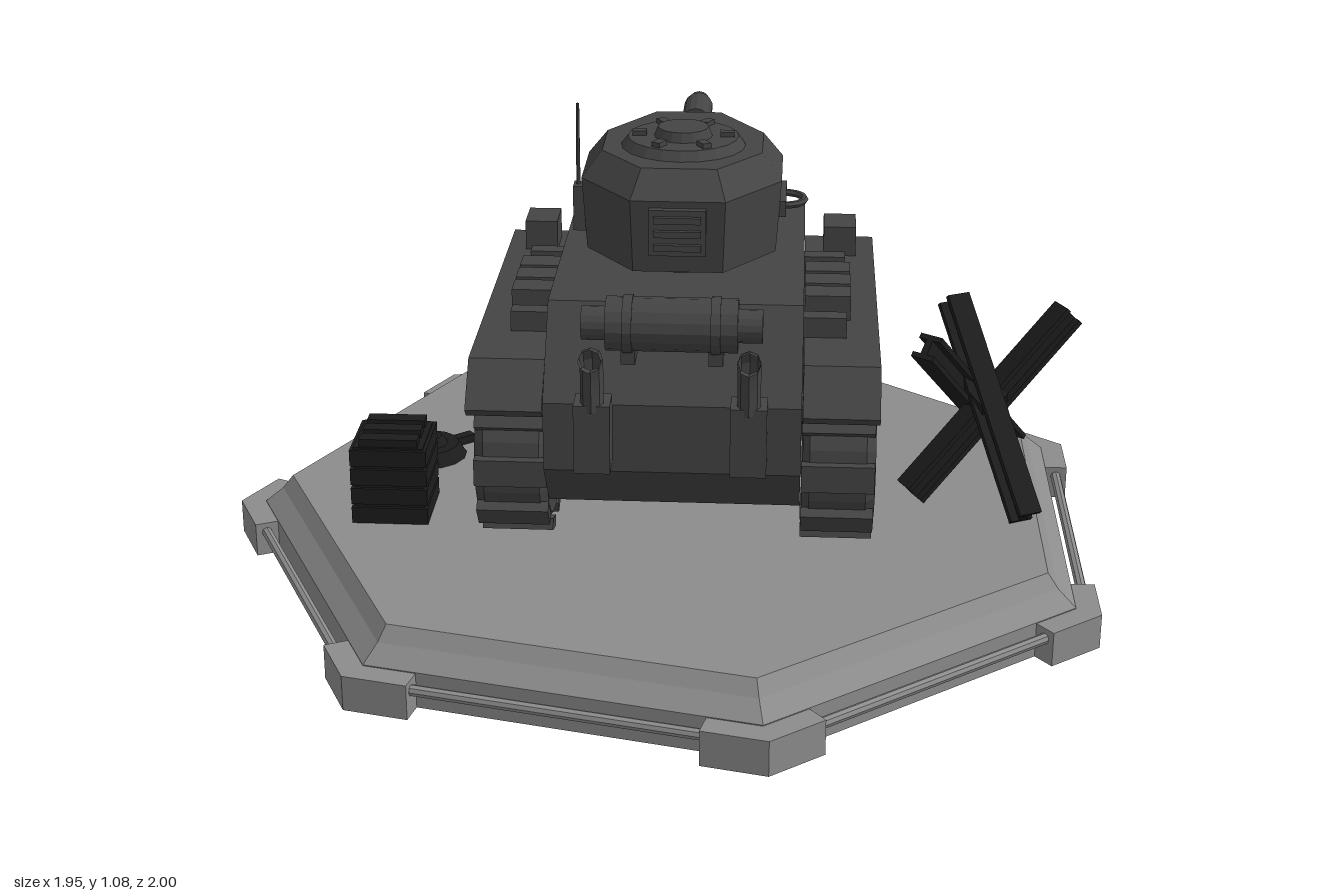
import * as THREE from 'three';

const mat = (color) => new THREE.MeshStandardMaterial({ color, flatShading: true, side: THREE.DoubleSide });
const STONE = mat(0x8c8c8c), STEEL = mat(0x444444), DARK = mat(0x1c1c1c);

function add(parent, name, geo, m, pos = [0, 0, 0], rot = [0, 0, 0]) {
  const mesh = new THREE.Mesh(geo, m);
  mesh.name = name;
  mesh.position.set(...pos);
  mesh.rotation.set(...rot);
  parent.add(mesh);
  return mesh;
}
const box = (x, y, z) => new THREE.BoxGeometry(x, y, z);
const cyl = (r0, r1, h, n = 16) => new THREE.CylinderGeometry(r0, r1, h, n);

// Side profile given as [z, y] points, extruded across x
function sideExtrude(points, width) {
  const shape = new THREE.Shape(points.map((p) => new THREE.Vector2(...p)));
  const g = new THREE.ExtrudeGeometry(shape, { depth: width, bevelEnabled: false });
  return g.translate(0, 0, -width / 2).rotateY(-Math.PI / 2);
}

// Stacked rings of [x, z] points at given heights, capped at both ends
function loft(rings, heights) {
  const pos = [], n = rings[0].length;
  const put = (k, i) => pos.push(rings[k][i % n][0], heights[k], rings[k][i % n][1]);
  const last = rings.length - 1;
  for (let i = 0; i < n; i++) {
    for (let k = 0; k < last; k++) {
      put(k, i); put(k + 1, i); put(k, i + 1);
      put(k, i + 1); put(k + 1, i); put(k + 1, i + 1);
    }
    if (i > 0 && i < n - 1) {
      put(last, 0); put(last, i + 1); put(last, i);
      put(0, 0); put(0, i); put(0, i + 1);
    }
  }
  const g = new THREE.BufferGeometry();
  g.setAttribute('position', new THREE.Float32BufferAttribute(pos, 3));
  g.computeVertexNormals();
  return g;
}

// Seven-sided plinth with corner blocks and rails
function makeBase() {
  const g = new THREE.Group();
  g.name = 'base';
  g.position.x = 0.05;
  const step = (Math.PI * 2) / 7, h = step / 2;
  const ring = (r) => Array.from({ length: 7 }, (_, i) => {
    const a = Math.PI + i * step;
    return [r * Math.cos(a), r * Math.sin(a)];
  });
  add(g, 'plinth', loft([ring(0.967), ring(0.967), ring(0.925), ring(0.9)], [0, 0.08, 0.115, 0.147]), STONE);
  const R = 1.025, len = 0.14, deep = 0.09;
  const along = [R - Math.sin(h) * len, Math.cos(h) * len];
  const inner = [along[0] - Math.cos(h) * deep, along[1] - Math.sin(h) * deep];
  const outline = [[R, 0], along, inner, [0.9, 0], [inner[0], -inner[1]], [along[0], -along[1]]];
  const block = loft([outline, outline], [0, 0.078]);
  for (let i = 0; i < 7; i++) {
    const a = Math.PI + i * step, b = a + h, d = 0.898;
    add(g, 'cornerBlock', block, STONE, [0, 0, 0], [0, -a, 0]);
    add(g, 'rail', cyl(0.012, 0.012, 0.64, 8).rotateX(Math.PI / 2), STONE,
      [d * Math.cos(b), 0.055, d * Math.sin(b)], [0, -b, 0]);
  }
  return g;
}

// Wheel with axle on x, dished face towards +x
function makeWheel() {
  const g = new THREE.Group();
  g.name = 'wheel';
  const profile = [[0.03, -0.075], [0.17, -0.075], [0.19, -0.06], [0.19, 0.06], [0.175, 0.08],
    [0.135, 0.08], [0.125, 0.04], [0.03, 0.04]].map((p) => new THREE.Vector2(...p));
  add(g, 'tyre', new THREE.LatheGeometry(profile, 20).rotateZ(-Math.PI / 2), STEEL);
  for (let i = 0; i < 10; i++) {
    const a = (i * Math.PI) / 5 + 0.3;
    add(g, 'tread', box(0.155, 0.025, 0.06), STEEL, [0, 0.194 * Math.cos(a), 0.194 * Math.sin(a)], [a, 0, 0]);
  }
  add(g, 'hub', cyl(0.055, 0.065, 0.05, 8).rotateZ(-Math.PI / 2), STEEL, [0.05, 0, 0]);
  for (let i = 0; i < 5; i++) {
    const a = (i * Math.PI * 2) / 5;
    add(g, 'spoke', box(0.02, 0.08, 0.025), STEEL, [0.045, 0.085 * Math.cos(a), 0.085 * Math.sin(a)], [a, 0, 0]);
  }
  add(g, 'hubPlate', box(0.03, 0.06, 0.09), STEEL, [0.065, 0, 0], [0.8, 0, 0]);
  return g;
}

function makeHull() {
  const g = new THREE.Group();
  g.name = 'hull';
  add(g, 'body', sideExtrude([[0.48, 0.55], [0.34, 0.725], [-0.34, 0.725], [-0.565, 0.5], [-0.53, 0.36],
    [-0.42, 0.285], [0.38, 0.285], [0.48, 0.4]], 0.535), STEEL);
  const guard = sideExtrude([[0.48, 0.53], [0.4, 0.615], [-0.43, 0.615], [-0.52, 0.53], [-0.5, 0.51],
    [-0.42, 0.585], [0.39, 0.585], [0.46, 0.51]], 0.16);
  for (const s of [-1, 1]) {
    add(g, 'fender', guard, STEEL, [s * 0.35, 0, 0]);
    for (const z of [0.21, -0.305]) {
      const w = makeWheel();
      w.position.set(s * 0.347, 0.36, z);
      if (s < 0) w.rotation.y = Math.PI;
      g.add(w);
    }
    add(g, 'axleHousing', box(0.08, 0.16, 0.22), STEEL, [s * 0.29, 0.5, -0.05]);
    add(g, 'fenderBox', box(0.075, 0.07, 0.1), STEEL, [s * 0.35, 0.65, -0.34]);
    for (const z of [-0.17, 0.22]) add(g, 'fenderBracket', box(0.1, 0.05, 0.04), STEEL, [s * 0.31, 0.635, z]);
    for (const z of [-0.06, 0.02, 0.1]) add(g, 'stowageBox', box(0.1, 0.06, 0.065), STEEL, [s * 0.32, 0.64, z]);
    // Rear exhausts
    add(g, 'exhaustBox', box(0.075, 0.15, 0.07), STEEL, [s * 0.16, 0.5, 0.515]);
    const path = new THREE.CatmullRomCurve3([[0.53, 0.56], [0.53, 0.64], [0.54, 0.675], [0.58, 0.685]]
      .map(([z, y]) => new THREE.Vector3(s * 0.16, y, z)));
    add(g, 'exhaustPipe', new THREE.TubeGeometry(path, 8, 0.024, 8), STEEL);
    // Front tow rings
    add(g, 'towMount', box(0.05, 0.06, 0.04), STEEL, [s * 0.16, 0.45, -0.555]);
    add(g, 'towRing', new THREE.TorusGeometry(0.032, 0.009, 6, 12), STEEL, [s * 0.16, 0.45, -0.59], [0, Math.PI / 2, 0]);
  }
  // Drum across the rear deck
  add(g, 'rearDrum', cyl(0.056, 0.056, 0.27).rotateZ(Math.PI / 2), STEEL, [0, 0.725, 0.465]);
  add(g, 'drumEnds', cyl(0.035, 0.035, 0.37).rotateZ(Math.PI / 2), STEEL, [0, 0.725, 0.465]);
  for (const s of [-1, 1]) {
    add(g, 'drumBand', cyl(0.06, 0.06, 0.02).rotateZ(Math.PI / 2), STEEL, [s * 0.09, 0.725, 0.465]);
    add(g, 'drumBracket', box(0.03, 0.05, 0.12), STEEL, [s * 0.09, 0.665, 0.42]);
  }
  // Hatch lying on the sloped front plate
  const hatch = new THREE.Group();
  hatch.name = 'driverHatch';
  hatch.position.set(0, 0.62, -0.46);
  hatch.rotation.x = -Math.PI / 4;
  add(hatch, 'hatchFrame', box(0.27, 0.045, 0.2), STEEL);
  add(hatch, 'hatchPlate', box(0.17, 0.02, 0.12), STEEL, [0, 0.03, 0]);
  for (const x of [-0.115, 0.115]) for (const z of [-0.08, 0.08]) add(hatch, 'bolt', cyl(0.01, 0.01, 0.015, 6), STEEL, [x, 0.027, z]);
  g.add(hatch);
  return g;
}

function makeTurret() {
  const g = new THREE.Group();
  g.name = 'turret';
  const half = [[0.215, -0.07], [0.215, 0.12], [0.1, 0.275], [-0.1, 0.275], [-0.215, 0.12], [-0.215, -0.07], [-0.09, -0.265], [0.09, -0.265]];
  const ring = (k) => half.map(([x, z]) => [x * k, z * k]);
  add(g, 'turretBody', loft([ring(0.95), ring(1), ring(0.8)], [0.765, 0.925, 0.98]), STEEL);
  add(g, 'turretRing', cyl(0.155, 0.155, 0.06, 20), STEEL, [0, 0.745, 0]);
  add(g, 'cupolaBase', cyl(0.12, 0.135, 0.02, 20), STEEL, [0, 0.99, 0.04]);
  add(g, 'cupolaLid', cyl(0.055, 0.065, 0.025, 16), STEEL, [0, 1.008, 0.04]);
  for (let i = 0; i < 6; i++) {
    const a = (i * Math.PI) / 3;
    add(g, 'cupolaBlock', box(0.03, 0.015, 0.02), STEEL, [0.095 * Math.cos(a), 1.003, 0.04 + 0.095 * Math.sin(a)], [0, -a, 0]);
  }
  // Gun, pointing to -z
  add(g, 'mantlet', cyl(0.065, 0.065, 0.16).rotateZ(Math.PI / 2), STEEL, [0, 0.855, -0.275]);
  add(g, 'gunCollar', box(0.095, 0.09, 0.08), STEEL, [0, 0.855, -0.32]);
  const barrel = [[0, 0], [0.026, 0], [0.026, 0.24], [0.035, 0.24], [0.035, 0.385], [0.026, 0.39], [0.026, 0.43], [0.014, 0.43], [0.014, 0.38]];
  add(g, 'barrel', new THREE.LatheGeometry(barrel.map((p) => new THREE.Vector2(...p)), 14), STEEL, [0, 0.855, -0.315], [-Math.PI / 2, 0, 0]);
  // Rear grille, side loop, side visor and aerial
  add(g, 'rearGrille', box(0.12, 0.1, 0.03), STEEL, [0, 0.86, 0.275]);
  for (let i = 0; i < 3; i++) add(g, 'grilleSlat', box(0.1, 0.014, 0.02), STEEL, [0, 0.83 + i * 0.03, 0.29]);
  add(g, 'sideVisor', box(0.02, 0.035, 0.15), STEEL, [0.215, 0.86, 0.04]);
  add(g, 'sideLoop', new THREE.TorusGeometry(0.045, 0.008, 6, 14).rotateX(Math.PI / 2), STEEL, [0.22, 0.86, 0.04]);
  add(g, 'aerialMount', box(0.03, 0.1, 0.04), STEEL, [-0.22, 0.85, 0.085]);
  add(g, 'aerial', cyl(0.004, 0.005, 0.2, 6), STEEL, [-0.225, 0.98, 0.085]);
  return g;
}

// Three crossed I-beams
function makeBarrier() {
  const g = new THREE.Group();
  g.name = 'beamBarrier';
  const beams = [[[0.83, 0.17, -0.24], [0.6, 0.54, 0.09]], [[0.58, 0.17, 0.05], [0.93, 0.55, -0.12]], [[0.83, 0.17, 0.17], [0.67, 0.57, -0.14]]];
  for (const [lo, hi] of beams) {
    const a = new THREE.Vector3(...lo), b = new THREE.Vector3(...hi), len = a.distanceTo(b);
    const beam = new THREE.Group();
    beam.name = 'beam';
    for (const s of [-1, 1]) add(beam, 'flange', box(0.055, 0.012, len), DARK, [0, s * 0.023, 0]);
    add(beam, 'web', box(0.016, 0.045, len), DARK);
    beam.position.copy(a).lerp(b, 0.5);
    beam.lookAt(b);
    g.add(beam);
  }
  add(g, 'joint', box(0.07, 0.07, 0.07), DARK, [0.745, 0.365, -0.03], [0.5, 0.6, 0]);
  return g;
}

function makeCrate() {
  const g = new THREE.Group();
  g.name = 'crate';
  g.position.set(-0.58, 0.147, 0.16);
  add(g, 'core', box(0.155, 0.18, 0.155), DARK, [0, 0.092, 0]);
  for (let i = 0; i < 4; i++) add(g, 'board', box(0.17, 0.038, 0.17), DARK, [0, 0.021 + i * 0.046, 0]);
  for (const z of [-0.055, 0, 0.055]) add(g, 'lidSlat', box(0.13, 0.02, 0.035), DARK, [0, 0.19, z]);
  return g;
}

function makeMine() {
  const g = new THREE.Group();
  g.name = 'mine';
  g.position.set(-0.55, 0.147, -0.14);
  add(g, 'mineBody', cyl(0.07, 0.088, 0.03, 14), DARK, [0, 0.015, 0]);
  add(g, 'mineCap', cyl(0.03, 0.045, 0.02, 12), DARK, [0, 0.038, 0]);
  for (let i = 0; i < 3; i++) {
    const a = (i * Math.PI * 2) / 3 + 1.4;
    add(g, 'mineLug', box(0.06, 0.02, 0.025), DARK, [0.09 * Math.cos(a), 0.015, 0.09 * Math.sin(a)], [0, -a, 0]);
  }
  return g;
}

export function createModel() {
  const model = new THREE.Group();
  model.name = 'armouredCarDiorama';
  const car = new THREE.Group();
  car.name = 'armouredCar';
  car.position.x = 0.06;
  car.add(makeHull(), makeTurret());
  model.add(makeBase(), car, makeBarrier(), makeCrate(), makeMine());
  return model;
}
